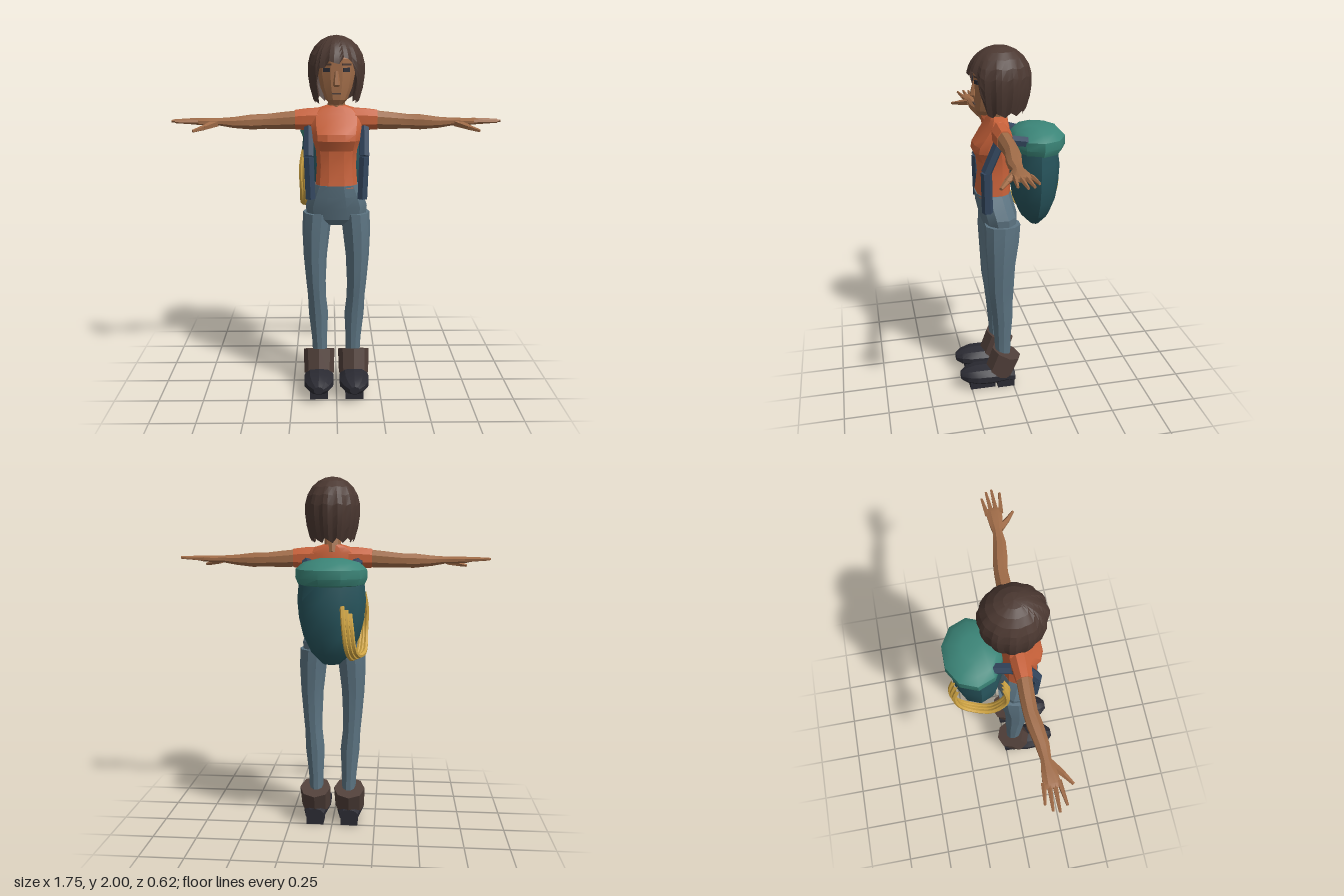
import * as THREE from 'three';
import { toCreasedNormals } from 'three/addons/utils/BufferGeometryUtils.js';

const V = (x, y, z) => new THREE.Vector3(x, y, z);
const mat = (name, color, side = THREE.FrontSide) => {
  const m = new THREE.MeshStandardMaterial({ color, side });
  m.name = name;
  return m;
};

// Indexed geometry from a grid of rows of points, closed around each row
function grid(rows, n, capped) {
  const pos = [], idx = [];
  rows.forEach((r) => r.forEach((p) => pos.push(p.x, p.y, p.z)));
  for (let j = 0; j < rows.length - 1; j++) {
    for (let i = 0; i < n; i++) {
      const k = (i + 1) % n, a = j * n + i, b = j * n + k;
      idx.push(a, b, b + n, a, b + n, a + n);
    }
  }
  if (capped) {
    const t = (rows.length - 1) * n;
    for (let i = 1; i < n - 1; i++) idx.push(0, i + 1, i, t, t + i, t + i + 1);
  }
  const g = new THREE.BufferGeometry();
  g.setAttribute('position', new THREE.Float32BufferAttribute(pos, 3));
  g.setIndex(idx);
  return g;
}

// Loft of ellipses along an axis; rings are [position, centre A, centre B, radius A, radius B].
// Axis y uses (x, z), axis x uses (y, z), axis z uses (x, y).
function loft(axis, rings, n = 10, power = 1) {
  const soft = (v) => Math.sign(v) * Math.abs(v) ** power;
  const rows = rings.map(([t, a, b, ra, rb]) => Array.from({ length: n }, (_, i) => {
    const w = ((i + 0.5) / n) * Math.PI * 2, c = soft(Math.cos(w)), s = soft(Math.sin(w));
    if (axis === 'y') return V(a + ra * s, t, b + rb * c);
    if (axis === 'x') return V(t, a + ra * c, b + rb * s);
    return V(a + ra * c, b + rb * s, t);
  }));
  return grid(rows, n, true);
}

// Tapered prism between two points
function limb(a, b, ra, rb, n = 6) {
  const d = b.clone().sub(a);
  const g = new THREE.CylinderGeometry(rb, ra, d.length(), n);
  g.applyQuaternion(new THREE.Quaternion().setFromUnitVectors(V(0, 1, 0), d.normalize()));
  return g.translate((a.x + b.x) / 2, (a.y + b.y) / 2, (a.z + b.z) / 2);
}

function box(w, h, d, x, y, z) {
  return new THREE.BoxGeometry(w, h, d).translate(x, y, z);
}

function mirrored(geo) {
  const g = geo.clone();
  const p = g.attributes.position, ix = g.index.array;
  for (let i = 0; i < p.count; i++) p.setX(i, -p.getX(i));
  for (let i = 0; i < ix.length; i += 3) [ix[i + 1], ix[i + 2]] = [ix[i + 2], ix[i + 1]];
  return g;
}

// Hair shell: columns fall from the crown to an edge that opens around the face
function hairShell() {
  const n = 36, rows = [];
  const crown = 2.0, mid = 1.83;
  for (let j = 8; j >= 0; j--) {
    const v = j / 8, row = [];
    for (let i = 0; i < n; i++) {
      const a = ((i + 0.5) / n) * Math.PI * 2;
      const deg = (a > Math.PI ? a - Math.PI * 2 : a) * 180 / Math.PI;
      const open = THREE.MathUtils.clamp((Math.abs(deg) - 34) / 20, 0, 1);
      const fringe = 1.865 + 0.0006 * deg;
      const edge = fringe + (1.66 - fringe) * open + ((i * 5) % 3 - 1) * 0.014;
      const y = crown - (crown - edge) * (1 - Math.cos(v * Math.PI / 2));
      let r = y > mid ? Math.sqrt(Math.max(0, 1 - ((y - mid) / 0.17) ** 2))
        : 1 - 0.2 * ((mid - y) / 0.17) ** 2;
      if (i % 3 === 0) r *= 1 - 0.06 * v;
      row.push(V(0.153 * r * Math.sin(a), y, 0.05 + 0.172 * r * Math.cos(a)));
    }
    rows.push(row);
  }
  return grid(rows, n, false);
}

export function createModel() {
  const model = new THREE.Group();
  model.name = 'backpacker';
  const skin = mat('skin', 0xa06c48), hair = mat('hair', 0x4b3831, THREE.DoubleSide);
  const shirt = mat('shirt', 0xc9623a), denim = mat('denim', 0x5c7482);
  const strap = mat('strap', 0x33475f), canvas = mat('canvas', 0x27545c);
  const teal = mat('teal', 0x3b8578), rope = mat('rope', 0xcfa443);
  const leather = mat('dark leather', 0x2b2b33), brown = mat('brown leather', 0x51403a);

  const add = (name, geo, m, crease = 0.35) => {
    const mesh = new THREE.Mesh(toCreasedNormals(geo, crease), m);
    mesh.name = name;
    model.add(mesh);
  };
  const pair = (name, geo, m, crease) => {
    add(name + 'Left', geo, m, crease);
    add(name + 'Right', mirrored(geo), m, crease);
  };

  // Torso and hips
  add('shirtBody', loft('y', [
    [1.2, 0, 0.092, 0.117, 0.095], [1.32, 0, 0.085, 0.108, 0.085], [1.4, 0, 0.087, 0.113, 0.089],
    [1.455, 0, 0.1, 0.128, 0.102], [1.49, 0, 0.097, 0.132, 0.098], [1.54, 0, 0.08, 0.14, 0.078],
    [1.59, 0, 0.063, 0.14, 0.058], [1.62, 0, 0.058, 0.1, 0.047], [1.635, 0, 0.055, 0.05, 0.04]], 12, 0.75), shirt);
  add('hips', loft('y', [
    [0.985, 0, 0.055, 0.09, 0.06], [1.02, 0, 0.054, 0.165, 0.093], [1.09, 0, 0.065, 0.172, 0.103],
    [1.15, 0, 0.08, 0.15, 0.102], [1.215, 0, 0.092, 0.121, 0.098]], 12, 0.85), denim);

  // Legs
  pair('leg', loft('y', [
    [0.2, 0.095, 0.055, 0.04, 0.045], [0.3, 0.097, 0.057, 0.043, 0.047], [0.45, 0.102, 0.058, 0.055, 0.058],
    [0.56, 0.11, 0.064, 0.051, 0.064], [0.65, 0.115, 0.068, 0.055, 0.073], [0.8, 0.118, 0.068, 0.065, 0.08],
    [0.95, 0.112, 0.061, 0.077, 0.096], [1.05, 0.104, 0.056, 0.08, 0.1]], 10), denim);

  // Boots
  pair('bootCuff', limb(V(0.1, 0.09, 0.085), V(0.1, 0.218, 0.034), 0.085, 0.09, 8), brown);
  pair('shoe', loft('z', [
    [-0.01, 0.1, 0.06, 0.055, 0.038], [0.05, 0.1, 0.078, 0.072, 0.05], [0.14, 0.1, 0.085, 0.087, 0.06],
    [0.22, 0.1, 0.088, 0.085, 0.056], [0.275, 0.1, 0.088, 0.062, 0.043], [0.31, 0.1, 0.088, 0.028, 0.022]], 10), leather);
  pair('heel', box(0.1, 0.06, 0.1, 0.1, 0.03, 0.045), leather);
  pair('sole', box(0.1, 0.045, 0.15, 0.1, 0.033, 0.185), leather);

  // Sleeves, arms and hands
  pair('sleeve', loft('x', [
    [0.06, 1.56, 0.063, 0.066, 0.055], [0.15, 1.56, 0.066, 0.062, 0.052], [0.22, 1.558, 0.067, 0.055, 0.044]], 8), shirt);
  pair('arm', loft('x', [
    [0.2, 1.558, 0.067, 0.052, 0.041], [0.3, 1.552, 0.064, 0.047, 0.04], [0.38, 1.548, 0.064, 0.041, 0.038],
    [0.45, 1.546, 0.073, 0.042, 0.042], [0.55, 1.545, 0.088, 0.03, 0.036], [0.62, 1.549, 0.09, 0.021, 0.027],
    [0.67, 1.549, 0.092, 0.02, 0.038], [0.74, 1.551, 0.093, 0.017, 0.047], [0.76, 1.551, 0.093, 0.012, 0.043]], 8), skin);
  [[0.055, 0.83, 0.042], [0.08, 0.865, 0.072], [0.105, 0.875, 0.103], [0.128, 0.85, 0.143]].forEach(([z0, x1, z1], i) => {
    pair('finger' + (i + 1), limb(V(0.73, 1.552, z0), V(x1, 1.555, z1), 0.014, 0.007, 5), skin);
  });
  pair('thumbBase', limb(V(0.64, 1.542, 0.105), V(0.7, 1.525, 0.16), 0.022, 0.015, 5), skin);
  pair('thumb', limb(V(0.695, 1.526, 0.156), V(0.75, 1.512, 0.197), 0.015, 0.008, 5), skin);

  // Head and face
  add('neck', limb(V(0, 1.59, 0.048), V(0, 1.71, 0.065), 0.048, 0.043, 8), skin);
  add('head', loft('y', [
    [1.645, 0, 0.12, 0.032, 0.045], [1.67, 0, 0.105, 0.058, 0.075], [1.73, 0, 0.085, 0.085, 0.098],
    [1.8, 0, 0.08, 0.1, 0.103], [1.88, 0, 0.078, 0.1, 0.105], [1.95, 0, 0.065, 0.07, 0.08]], 12, 0.85), skin);
  add('nose', loft('y', [
    [1.738, 0, 0.182, 0.012, 0.012], [1.75, 0, 0.186, 0.019, 0.021], [1.82, 0, 0.178, 0.009, 0.01]], 6), skin);
  pair('eye', box(0.036, 0.02, 0.008, 0, 0, 0).rotateY(0.3).translate(0.052, 1.825, 0.177), leather);
  pair('brow', box(0.05, 0.009, 0.008, 0, 0, 0).rotateY(0.3).translate(0.052, 1.852, 0.178), hair);
  add('mouth', box(0.045, 0.007, 0.008, 0, 1.703, 0.182), brown);
  add('hair', hairShell(), hair, 0.25);

  // Backpack
  add('packBody', loft('y', [
    [1.0, -0.01, -0.15, 0.045, 0.028], [1.06, -0.01, -0.148, 0.108, 0.083], [1.15, -0.01, -0.146, 0.152, 0.118],
    [1.25, -0.01, -0.145, 0.176, 0.133], [1.35, -0.01, -0.143, 0.185, 0.14], [1.45, -0.01, -0.143, 0.175, 0.125]], 10), canvas, 0.7);
  add('packLid', loft('y', [
    [1.42, -0.01, -0.15, 0.13, 0.1], [1.435, -0.01, -0.155, 0.178, 0.138], [1.47, -0.01, -0.157, 0.193, 0.154],
    [1.515, -0.01, -0.157, 0.19, 0.152], [1.55, -0.01, -0.155, 0.15, 0.12], [1.57, -0.01, -0.152, 0.07, 0.055]], 10), teal, 0.7);

  // Shoulder straps
  const path = [V(0.1, 1.5, -0.12), V(0.14, 1.535, 0.02), V(0.148, 1.53, 0.08), V(0.148, 1.37, 0.15), V(0.14, 1.14, 0.145)];
  for (let i = 0; i < path.length - 1; i++) {
    pair('strap' + (i + 1), limb(path[i], path[i + 1], 0.03, 0.03, 6), strap);
  }

  // Three strands of rope hanging on the side of the pack
  for (let k = 0; k < 3; k++) {
    const o = k * 0.02;
    const curve = new THREE.CatmullRomCurve3([
      V(-0.075 - o, 1.33 - o, -0.27 + o * 0.3), V(-0.085 - o, 1.22, -0.298 + o * 0.4), V(-0.1 - o, 1.1, -0.275 + o * 0.4),
      V(-0.12 - o, 1.04 + o * 0.4, -0.2), V(-0.15 - o, 1.05 + o * 0.4, -0.1), V(-0.16 - o * 0.8, 1.16, -0.02),
      V(-0.155 - o, 1.29, 0.0 - o * 0.3), V(-0.14 - o, 1.38, -0.03)]);
    add('rope' + (k + 1), new THREE.TubeGeometry(curve, 20, 0.013, 6), rope, 0.9);
  }
  return model;
}
